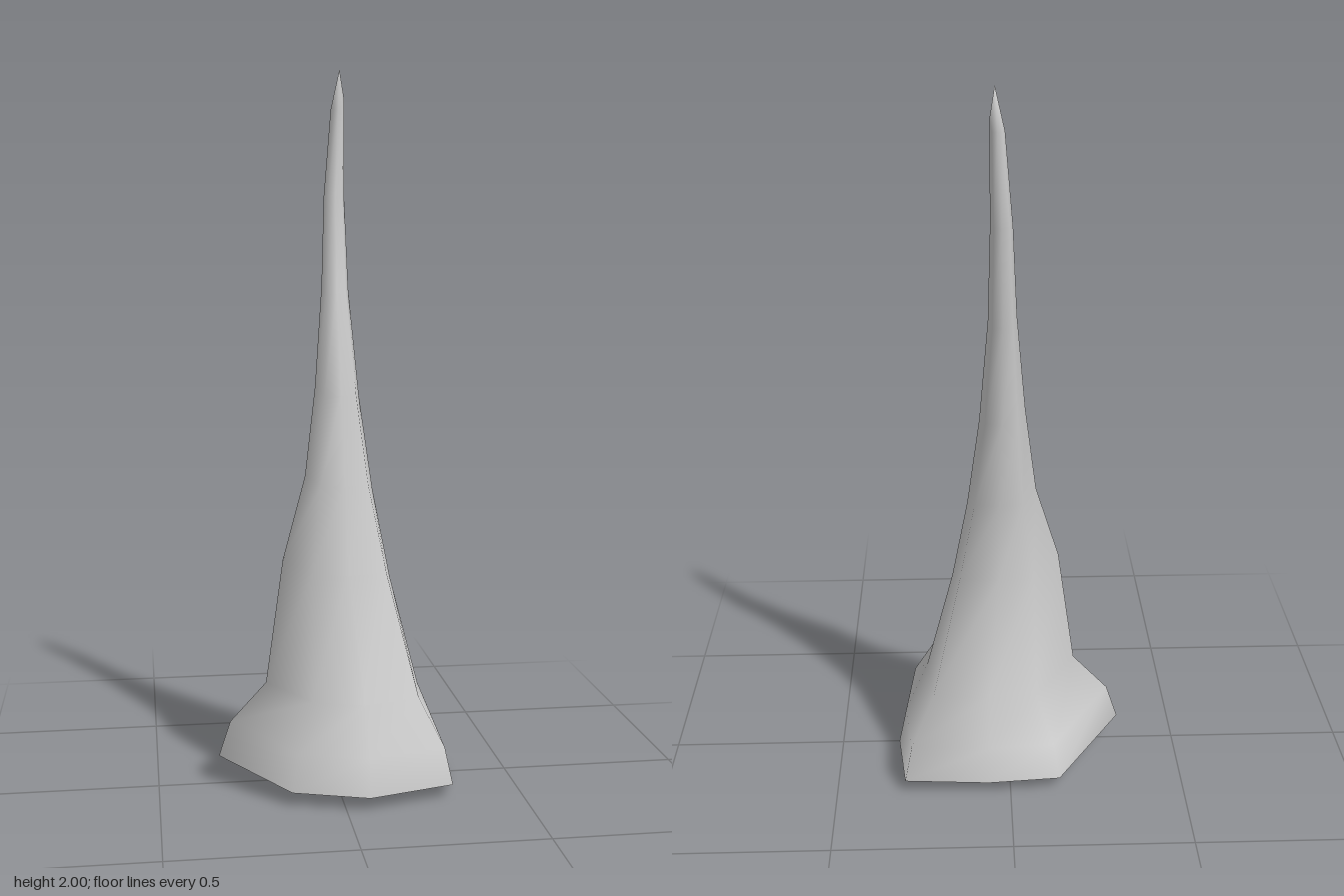
import * as THREE from 'three';

// Each ring: left x,y | right x,y | front z | back z | y of other points | base-outline blend
const RINGS = [
  [-0.33, 0.08, 0.33, 0.0, 0.265, -0.267, 0.038, 1],
  [-0.297, 0.18, 0.307, 0.11, 0.245, -0.243, 0.14, 1],
  [-0.195, 0.29, 0.24, 0.27, 0.18, -0.178, 0.27, 0.9],
  [-0.145, 0.64, 0.16, 0.58, 0.085, -0.102, 0.61, 0.7],
  [-0.077, 0.87, 0.115, 0.83, 0.025, -0.12, 0.85, 0.4],
  [-0.045, 1.12, 0.08, 1.09, -0.005, -0.14, 1.1, 0.2],
  [-0.02, 1.4, 0.056, 1.39, -0.08, -0.162, 1.38, 0],
  [-0.008, 1.65, 0.05, 1.65, -0.135, -0.19, 1.65, 0],
  [0.012, 1.89, 0.05, 1.92, -0.145, -0.183, 1.89, 0],
];
// Unit outlines (x, z), counter-clockwise from above, starting at the right
const BASE = [[1, 0], [0.92, -0.94], [0.19, -1], [-0.43, -0.94], [-1, 0], [-0.43, 0.75], [0.19, 1], [0.92, 0.75]];
const ROUND = BASE.map((_, i) => [Math.cos(i * Math.PI / 4), -Math.sin(i * Math.PI / 4)]);
const N = BASE.length;

function ringPoints([xL, yL, xR, yR, zF, zB, yM, w]) {
  return BASE.map((b, i) => {
    const u = THREE.MathUtils.lerp(ROUND[i][0], b[0], w);
    const v = THREE.MathUtils.lerp(ROUND[i][1], b[1], w);
    const y = i === 0 ? yR : i === N / 2 ? yL : yM;
    return [(xL + xR) / 2 + u * (xR - xL) / 2, y, (zF + zB) / 2 + v * (zF - zB) / 2];
  });
}

function makeMesh(name, points, index) {
  const geometry = new THREE.BufferGeometry();
  geometry.setAttribute('position', new THREE.Float32BufferAttribute(points.flat(), 3));
  geometry.setIndex(index);
  geometry.computeVertexNormals();
  const mesh = new THREE.Mesh(geometry, new THREE.MeshStandardMaterial({ color: 0xcccccc }));
  mesh.name = name;
  return mesh;
}

export function createModel() {
  const group = new THREE.Group();
  group.name = 'spike';
  const rings = RINGS.map(ringPoints);

  // Curved tapering shaft, closed by a point
  const points = [...rings.flat(), [0.037, 2, -0.165]];
  const index = [];
  const tip = points.length - 1;
  for (let r = 0; r < rings.length; r++) {
    for (let i = 0; i < N; i++) {
      const a = r * N + i, b = r * N + (i + 1) % N;
      if (r === rings.length - 1) index.push(a, b, tip);
      else index.push(a, b, b + N, a, b + N, a + N);
    }
  }
  group.add(makeMesh('shaft', points, index));

  // Underside
  const capIndex = [];
  for (let i = 0; i < N; i++) capIndex.push(N, (i + 1) % N, i);
  group.add(makeMesh('underside', [...rings[0], [0.03, 0.038, 0]], capIndex));
  return group;
}
